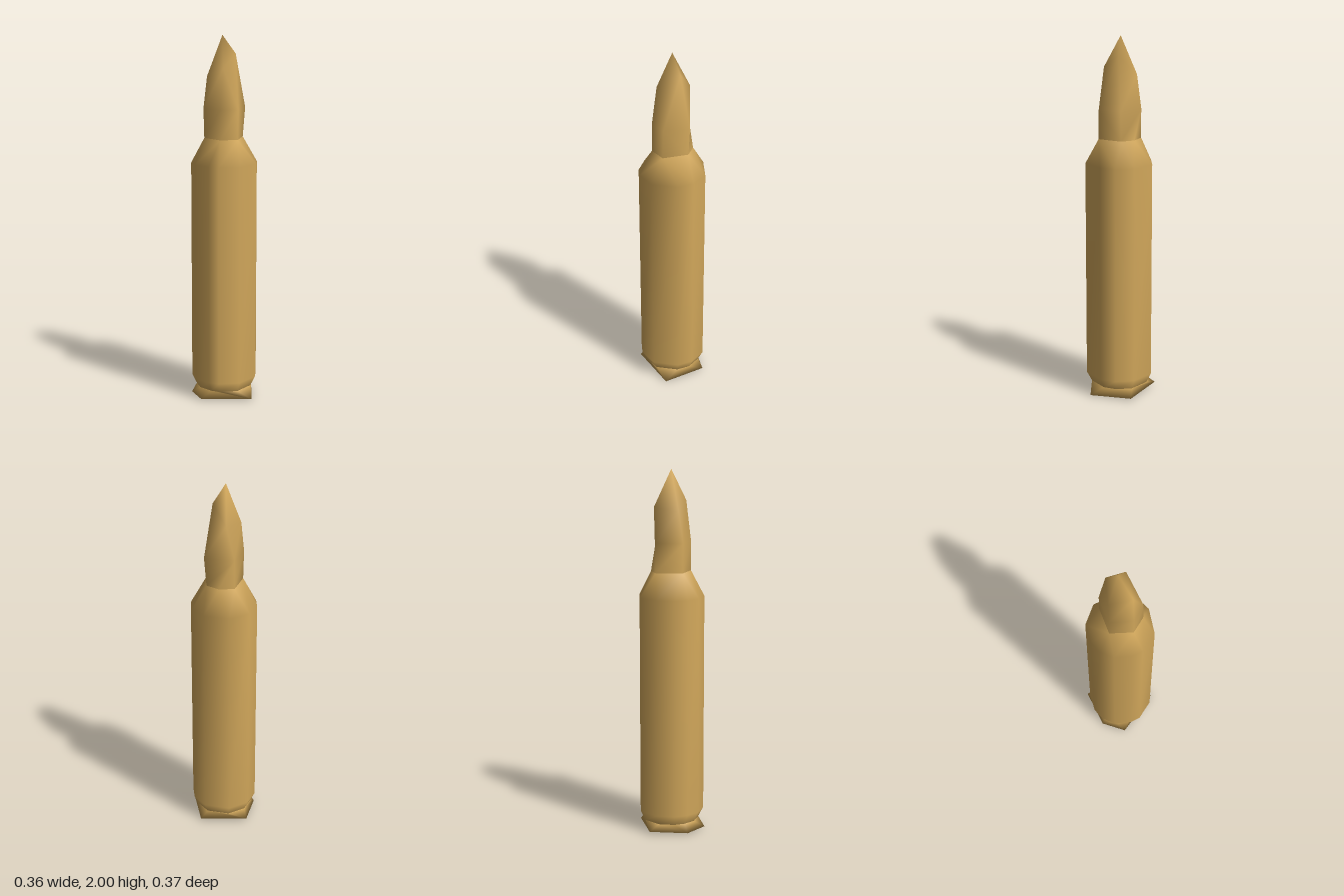
import * as THREE from 'three';

// Ring of corners [x, y, z], ordered by angle around the y axis
const angle = (p) => (Math.atan2(p[2], p[0]) + Math.PI * 2) % (Math.PI * 2);
const sortRing = (ring) => [...ring].sort((a, b) => angle(a) - angle(b));
const level = (y, points, s = 1) => points.map(([x, z]) => [x * s, y, z * s]);

// Skin between rings, bottom to top, whose corner counts may differ
function loft(name, rings, material) {
  const sorted = rings.map(sortRing);
  const positions = sorted.flat(2);
  const index = [];
  let start = 0;
  for (let k = 0; k < sorted.length - 1; k++) {
    const low = sorted[k], high = sorted[k + 1];
    const a0 = start, b0 = start + low.length;
    const next = (ring, i) => {
      if (ring.length === 1 || i >= ring.length) return Infinity;
      return i + 1 === ring.length ? angle(ring[0]) + Math.PI * 2 : angle(ring[i + 1]);
    };
    let i = 0, j = 0;
    while (next(low, i) < Infinity || next(high, j) < Infinity) {
      const a = a0 + (i % low.length), b = b0 + (j % high.length);
      if (next(low, i) <= next(high, j)) {
        i++;
        index.push(a, b, a0 + (i % low.length));
      } else {
        j++;
        index.push(a, b, b0 + (j % high.length));
      }
    }
    start = b0;
  }
  const geometry = new THREE.BufferGeometry();
  geometry.setAttribute('position', new THREE.Float32BufferAttribute(positions, 3));
  geometry.setIndex(index);
  geometry.computeVertexNormals();
  const mesh = new THREE.Mesh(geometry, material);
  mesh.name = name;
  return mesh;
}

export function createModel() {
  const brass = new THREE.MeshStandardMaterial({ color: 0xd0a65a, side: THREE.DoubleSide });
  brass.name = 'brass';

  // Uneven cross-sections of the case and neck
  const caseOutline = [
    [0.18, 0], [0.16, 0.085], [0.055, 0.183], [-0.06, 0.18], [-0.11, 0.15],
    [-0.17, 0.07], [-0.18, -0.01], [-0.16, -0.08], [-0.09, -0.155],
    [0.03, -0.178], [0.15, -0.1],
  ];
  const neckOutline = [[0.105, -0.02], [0.055, 0.11], [-0.04, 0.11], [-0.11, 0.005], [-0.02, -0.11], [0.06, -0.085]];
  const groove = level(0.055, caseOutline, 0.85);
  const neck = level(1.45, neckOutline);

  const model = new THREE.Group();
  model.name = 'cartridge';

  // Base rim with five bent corners
  model.add(loft('baseRim', [
    [[0, 0.015, 0]],
    [[0.17, 0.01, -0.085], [0.13, 0, 0.15], [-0.15, 0.01, 0.13], [-0.182, 0.008, -0.01], [-0.07, 0.02, -0.187]],
    groove,
  ], brass));

  // Straight case and sloping shoulder
  model.add(loft('caseBody', [groove, level(0.11, caseOutline), level(1.315, caseOutline), neck], brass));

  // Faceted tip
  model.add(loft('pointedTip', [
    neck,
    level(1.61, [[0.118, -0.02], [0.058, 0.108], [-0.04, 0.11], [-0.114, 0.005], [-0.02, -0.11]]),
    [[0.062, 1.9, 0], [-0.02, 1.83, 0.092], [-0.092, 1.78, -0.01], [0.02, 1.8, -0.092]],
    [[-0.01, 2, 0]],
  ], brass));

  return model;
}
